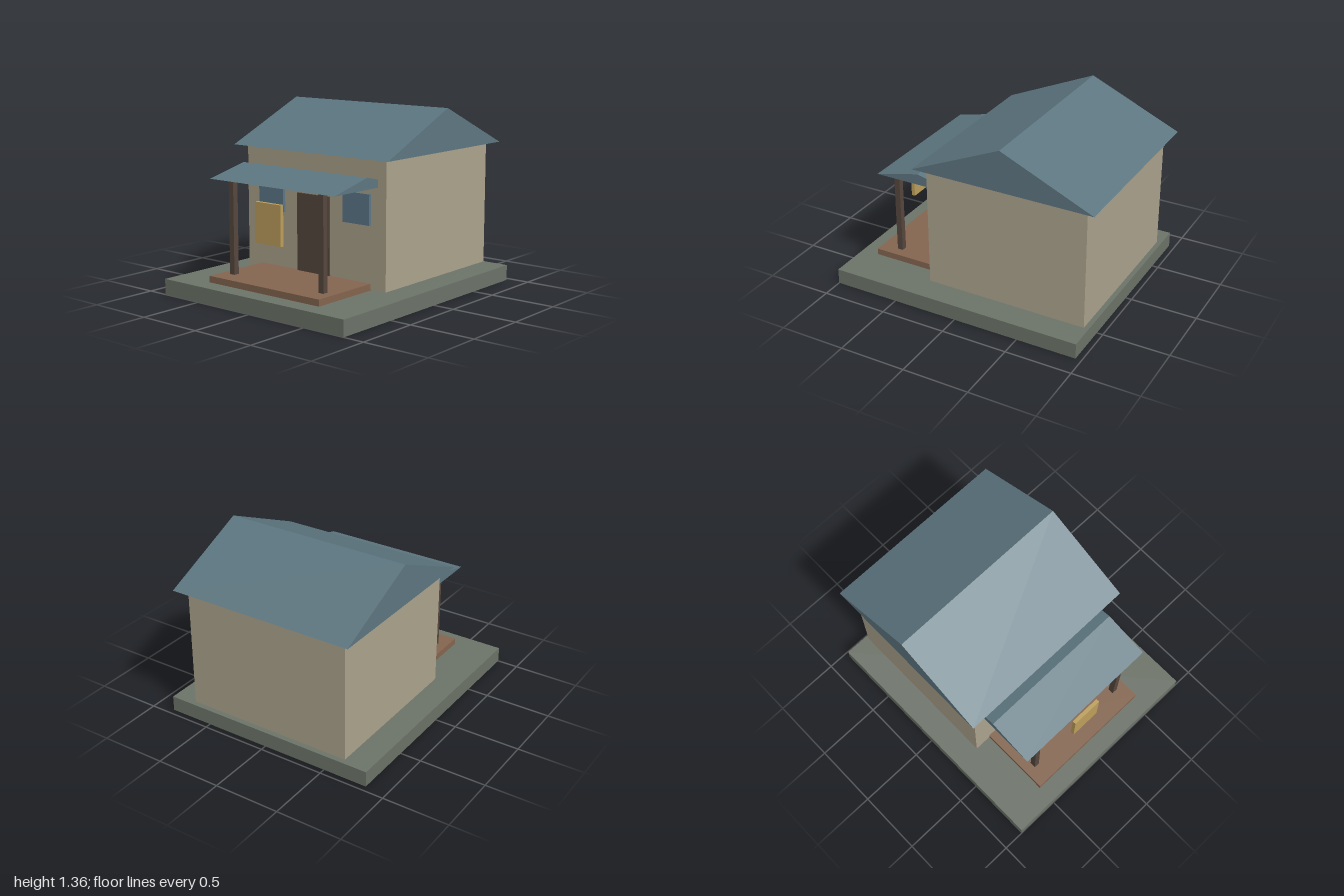
import * as THREE from 'three';

const flat = (name, color) => {
  const m = new THREE.MeshStandardMaterial({ color });
  m.name = name;
  return m;
};

export function createModel() {
  const stone = flat('stone', 0x6c7368);
  const plaster = flat('plaster', 0xaca38d);
  const slate = flat('slate', 0x5d7680);
  const deckWood = flat('deckWood', 0x84654f);
  const darkWood = flat('darkWood', 0x56473e);
  const glass = flat('glass', 0x5b7888);
  const brass = flat('brass', 0xbd9f5c);

  const model = new THREE.Group();
  model.name = 'cottage';

  // Box given by its extents along each axis
  const box = (name, material, [x0, x1], [y0, y1], [z0, z1]) => {
    const mesh = new THREE.Mesh(new THREE.BoxGeometry(x1 - x0, y1 - y0, z1 - z0), material);
    mesh.position.set((x0 + x1) / 2, (y0 + y1) / 2, (z0 + z1) / 2);
    mesh.name = name;
    model.add(mesh);
  };

  // Solid gable roof with its ridge along z
  const gable = (name, x0, x1, y0, y1, halfDepth) => {
    const shape = new THREE.Shape();
    shape.moveTo(x0, y0);
    shape.lineTo(x1, y0);
    shape.lineTo((x0 + x1) / 2, y1);
    shape.closePath();
    const geometry = new THREE.ExtrudeGeometry(shape, { depth: 2 * halfDepth, bevelEnabled: false });
    geometry.translate(0, 0, -halfDepth);
    const mesh = new THREE.Mesh(geometry, slate);
    mesh.name = name;
    model.add(mesh);
  };

  // Plinth, house and main roof
  box('plinth', stone, [-1, 0.955], [0, 0.117], [-0.84, 0.84]);
  box('walls', plaster, [-0.315, 0.922], [0.124, 1.05], [-0.65, 0.65]);
  gable('mainRoof', -0.39, 1, 1.05, 1.358, 0.72);

  // Porch deck, roof and posts
  box('porchDeck', deckWood, [-0.865, -0.28], [0.117, 0.165], [-0.517, 0.517]);
  gable('porchRoof', -0.78, -0.09, 0.852, 0.935, 0.58);
  for (const z of [-0.42, 0.42]) {
    box('porchPost', darkWood, [-0.732, -0.688], [0.165, 0.852], [z - 0.022, z + 0.022]);
  }

  // Door, windows and hanging sign
  box('door', darkWood, [-0.331, -0.31], [0.165, 0.74], [-0.15, 0.15]);
  for (const z of [-0.4, 0.4]) {
    box('window', glass, [-0.337, -0.31], [0.58, 0.8], [z - 0.12, z + 0.12]);
  }
  box('signBoard', brass, [-0.802, -0.774], [0.453, 0.743], [-0.12, 0.12]);

  return model;
}
